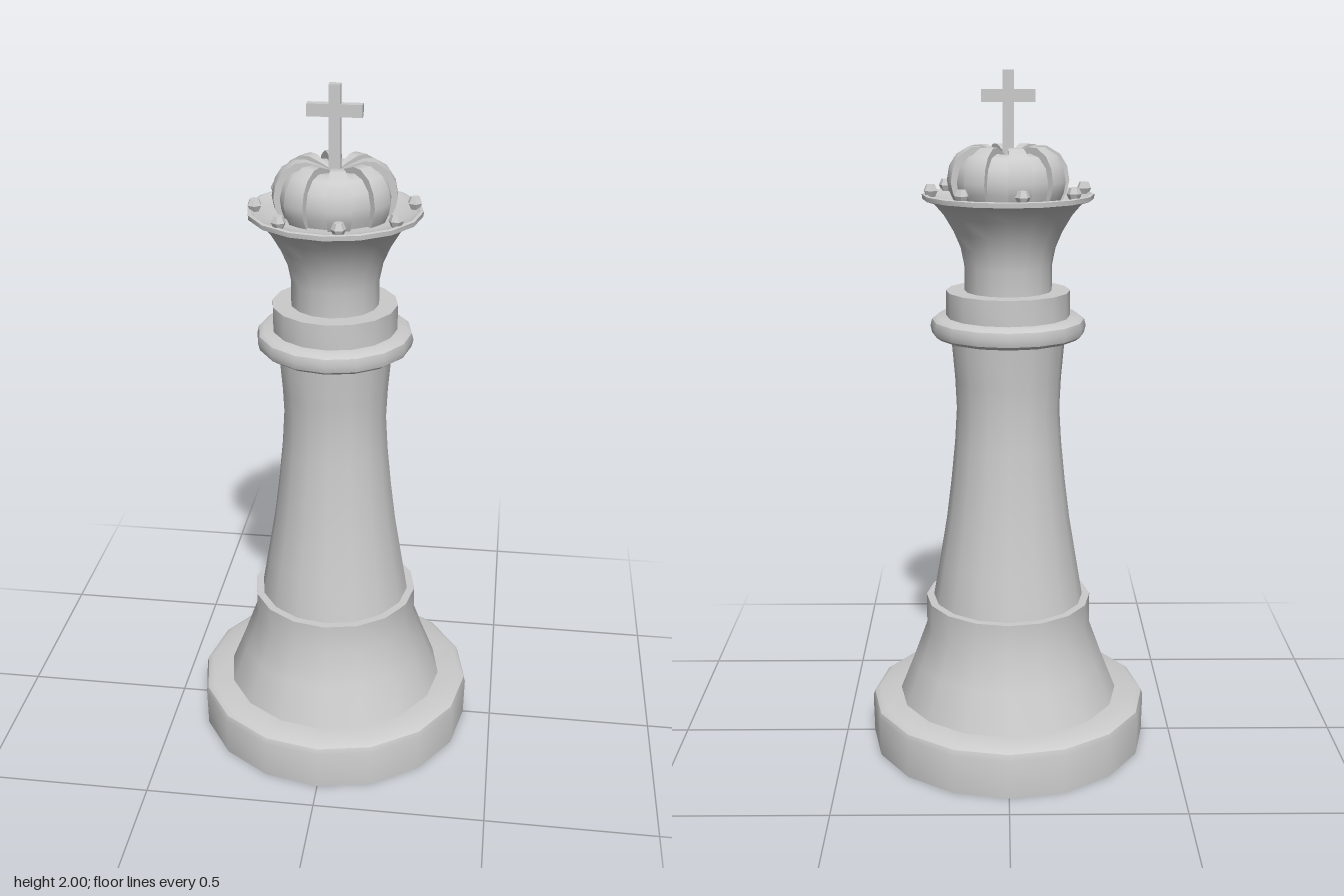
import * as THREE from 'three';
import { toCreasedNormals } from 'three/addons/utils/BufferGeometryUtils.js';

const SIDES = 16;

export function createModel() {
  const model = new THREE.Group();
  const grey = new THREE.MeshStandardMaterial({ color: 0xcccccc });
  const thin = new THREE.MeshStandardMaterial({ color: 0xcccccc, side: THREE.DoubleSide });
  const faceted = new THREE.MeshStandardMaterial({ color: 0xcccccc, flatShading: true });

  const add = (name, geometry, material = grey, parent = model) => {
    const mesh = new THREE.Mesh(geometry, material);
    mesh.name = name;
    parent.add(mesh);
    return mesh;
  };
  const points = (list) => list.map(([r, y]) => new THREE.Vector2(r, y));
  // Turned part: smooth around, sharp at strong profile corners
  const turned = (name, profile) =>
    add(name, toCreasedNormals(new THREE.LatheGeometry(points(profile), SIDES), 0.7));

  // Foot and lower body
  turned('base', [[0, 0], [0.415, 0], [0.417, 0.118], [0.412, 0.135], [0.395, 0.146], [0.3, 0.146], [0, 0.146]]);
  turned('skirt', [[0.33, 0.145], [0.285, 0.26], [0.247, 0.365], [0.247, 0.455], [0, 0.455]]);
  turned('shaft', [[0.225, 0.45], [0.203, 0.58], [0.183, 0.7], [0.168, 0.82], [0.156, 0.94],
    [0.15, 1.04], [0.154, 1.13], [0.165, 1.26]]);

  // Collar
  turned('collarRing', [[0.14, 1.255], [0.205, 1.255], [0.219, 1.265], [0.224, 1.285], [0.219, 1.305],
    [0.205, 1.315], [0.14, 1.315]]);
  turned('collarDisc', [[0.178, 1.31], [0.178, 1.388], [0, 1.388]]);

  // Flared cup with a shallow dish inside the rim
  turned('cup', [[0.125, 1.385], [0.125, 1.46], [0.135, 1.51], [0.154, 1.555], [0.182, 1.602], [0.215, 1.64],
    [0.242, 1.648], [0.243, 1.661], [0.234, 1.663], [0.222, 1.655], [0.17, 1.645], [0, 1.645]]);

  // Dome: a core with eight raised wedges
  turned('dome', [[0.14, 1.64], [0.15, 1.67], [0.154, 1.7], [0.144, 1.74], [0.118, 1.768], [0.085, 1.777],
    [0.045, 1.77], [0, 1.76]]);
  const ribProfile = points([[0.152, 1.64], [0.166, 1.67], [0.172, 1.7], [0.165, 1.74], [0.145, 1.772],
    [0.11, 1.793], [0.08, 1.794], [0.04, 1.78], [0, 1.762]]);
  const wallGeometry = new THREE.ShapeGeometry(new THREE.Shape([new THREE.Vector2(0, 1.64), ...ribProfile]));
  const step = Math.PI / 8;
  const ribs = new THREE.Group();
  ribs.name = 'domeRibs';
  model.add(ribs);
  for (let i = 0; i < 8; i++) {
    const angle = i * 2 * step;
    add('domeRib', new THREE.LatheGeometry(ribProfile, 2, angle + Math.PI / 2, step), thin, ribs);
    add('domeRibSide', wallGeometry, thin, ribs).rotation.y = angle;
    add('domeRibSide', wallGeometry, thin, ribs).rotation.y = angle + step;
  }

  // Beads around the rim
  const beadGeometry = new THREE.LatheGeometry(
    points([[0, -0.017], [0.013, -0.017], [0.021, 0], [0.013, 0.017], [0, 0.017]]), 6);
  for (let i = 0; i < 8; i++) {
    const angle = 0.17 + i * 2 * step;
    const bead = add('rimBead', beadGeometry, faceted);
    bead.position.set(0.219 * Math.cos(angle), 1.674, -0.219 * Math.sin(angle));
    bead.rotation.y = angle;
  }

  // Cross finial
  const bar = (name, w, h, d, y) => add(name, new THREE.BoxGeometry(w, h, d)).position.set(0, y, 0);
  bar('crossPost', 0.032, 0.25, 0.026, 1.875);
  bar('crossArms', 0.15, 0.034, 0.026, 1.931);

  return model;
}
